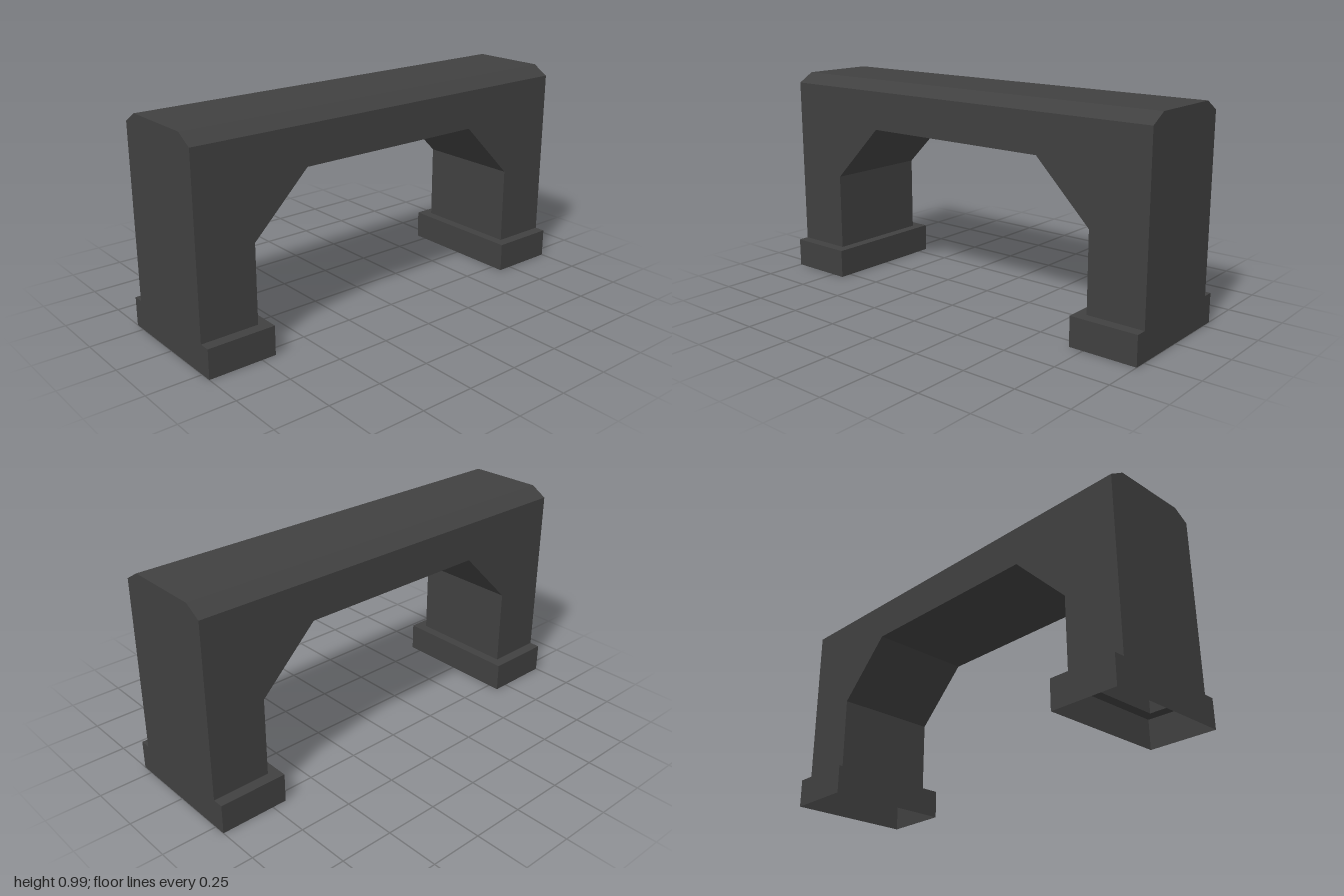
import * as THREE from 'three';

// Main dimensions
const HALF_LENGTH = 1;
const HALF_WIDTH = 0.253, TOP_HALF = 0.178;
const TOP = 0.985, SHOULDER = 0.94;
const FOOT_HALF = 0.304, FOOT_HEIGHT = 0.135, FOOT_INNER = 0.683;
const LEG_INNER = 0.731;

// Mirror a half outline about the vertical axis
const mirrored = (pts) => [...pts, ...pts.slice().reverse().map(([x, y]) => [-x, y])];

// Flat panel from an outline in x, y
const panel = (pts) =>
  new THREE.ShapeGeometry(new THREE.Shape(pts.map(([x, y]) => new THREE.Vector2(x, y))));

// Flat-faced strip: a polyline in x, y swept from -half to +half in z
function strip(pts, half) {
  const pos = [];
  for (let i = 0; i + 1 < pts.length; i++) {
    const [p, q] = [pts[i], pts[i + 1]];
    const a = [...p, -half], b = [...p, half], c = [...q, half], d = [...q, -half];
    pos.push(...a, ...b, ...c, ...a, ...c, ...d);
  }
  const g = new THREE.BufferGeometry();
  g.setAttribute('position', new THREE.Float32BufferAttribute(pos, 3));
  g.computeVertexNormals();
  return g;
}

export function createModel() {
  const model = new THREE.Group();
  model.name = 'archedBeam';

  // The shell is hollow and open underneath
  const stone = new THREE.MeshStandardMaterial({ color: 0x404040, side: THREE.DoubleSide });
  stone.name = 'darkGrey';

  const add = (parent, name, geometry) => {
    const mesh = new THREE.Mesh(geometry, stone);
    mesh.name = name;
    parent.add(mesh);
    return mesh;
  };

  // Right half of the arch opening, from the foot up
  const arch = [[LEG_INNER, FOOT_HEIGHT], [LEG_INNER, 0.496], [0.466, 0.76]];

  // Top with bevelled edges, and the underside of the arch
  add(model, 'bevelledTop', strip(
    [[-HALF_WIDTH, SHOULDER], [-TOP_HALF, TOP], [TOP_HALF, TOP], [HALF_WIDTH, SHOULDER]], HALF_LENGTH));
  add(model, 'archUnderside', strip(mirrored(arch), HALF_WIDTH).rotateY(Math.PI / 2));

  // Each half holds one end wall, one foot and one side wall
  for (const [name, angle] of [['front', 0], ['back', Math.PI]]) {
    const half = new THREE.Group();
    half.name = name + 'Half';
    half.rotation.y = angle;
    model.add(half);

    // Side wall with the arch cut out
    add(half, 'sideWall', panel(mirrored([
      [HALF_LENGTH, SHOULDER], [HALF_LENGTH, FOOT_HEIGHT], ...arch,
    ])).rotateY(Math.PI / 2)).position.x = HALF_WIDTH;

    // End wall, flush with the foot
    add(half, 'endWall', panel(mirrored([
      [FOOT_HALF, 0], [FOOT_HALF, FOOT_HEIGHT], [HALF_WIDTH, FOOT_HEIGHT],
      [HALF_WIDTH, SHOULDER], [TOP_HALF, TOP],
    ]))).position.z = HALF_LENGTH;

    // Ledge running round three sides of the leg
    add(half, 'footLedge', panel(mirrored([
      [FOOT_HALF, -FOOT_INNER], [FOOT_HALF, -HALF_LENGTH],
      [HALF_WIDTH, -HALF_LENGTH], [HALF_WIDTH, -LEG_INNER],
    ])).rotateX(-Math.PI / 2)).position.y = FOOT_HEIGHT;

    // Foot walls
    const inner = add(half, 'footInnerWall', new THREE.PlaneGeometry(2 * FOOT_HALF, FOOT_HEIGHT));
    inner.position.set(0, FOOT_HEIGHT / 2, FOOT_INNER);
    inner.rotation.y = Math.PI;
    for (const s of [-1, 1]) {
      const wall = add(half, s > 0 ? 'footLeftWall' : 'footRightWall',
        new THREE.PlaneGeometry(HALF_LENGTH - FOOT_INNER, FOOT_HEIGHT));
      wall.position.set(s * FOOT_HALF, FOOT_HEIGHT / 2, (HALF_LENGTH + FOOT_INNER) / 2);
      wall.rotation.y = s * Math.PI / 2;
    }
  }
  return model;
}
